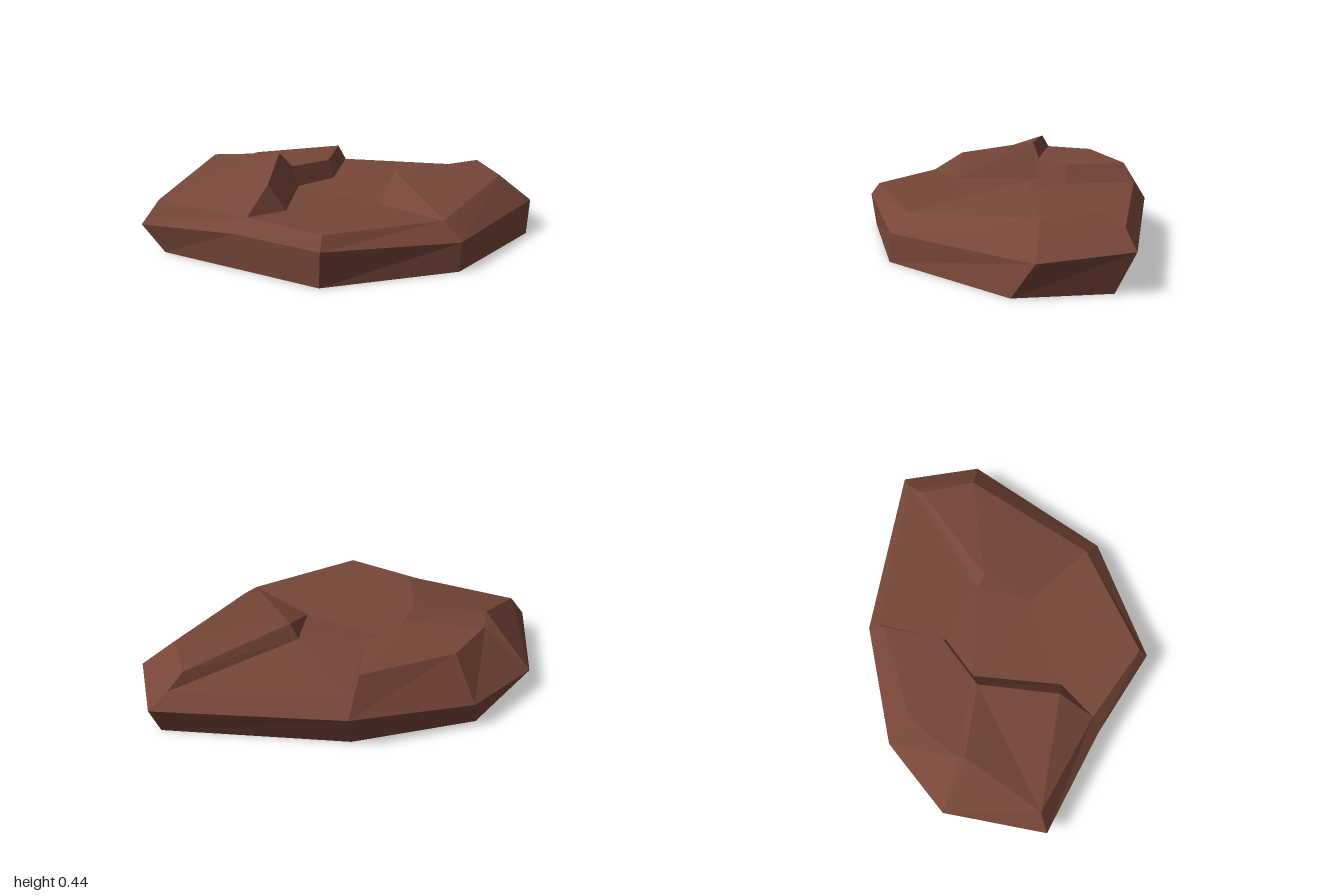
import * as THREE from 'three';

// Corner points of the slab: rim corners run anticlockwise seen from above
const rim = {
  A: [-1, 0.145, 0.4], B: [-0.45, 0.18, 0.575], C: [0.02, 0.18, 0.77],
  E: [0.64, 0.145, 0.41], G: [1, 0.165, -0.37], H: [0.83, 0.195, -0.77],
  I: [-0.12, 0.21, -0.74], J: [-0.71, 0.16, -0.49], K: [-1, 0.135, -0.14],
};
const foot = [
  [-0.88, 0, 0.4], [-0.44, 0, 0.565], [0.01, 0, 0.75], [0.635, 0, 0.42], [0.98, 0, -0.26],
  [0.82, 0, -0.68], [-0.126, 0, -0.65], [-0.73, 0, -0.42], [-0.885, 0, -0.04],
];
const shoulder = {
  A1: [-0.92, 0.267, 0.35], B1: [-0.39, 0.253, 0.53], C1: [0.02, 0.245, 0.72],
  E1: [0.55, 0.233, 0.35], G1: [0.82, 0.307, -0.35], H1: [0.745, 0.275, -0.71],
  I1: [-0.12, 0.293, -0.68], J1: [-0.6, 0.38, -0.38], K1: [-0.75, 0.362, -0.1],
};
const crest = {
  N: [-0.75, 0.428, -0.06], M: [-0.385, 0.445, -0.075], O: [-0.335, 0.374, 0.34], // left block
  T: [-0.325, 0.362, -0.122], U: [-0.155, 0.365, -0.31], S: [-0.155, 0.388, -0.62], // back plate
  P: [0.25, 0.345, -0.17], Q: [0.69, 0.33, -0.62], // right ridge
};
const hollow = {
  p: [-0.125, 0.262, -0.305], q: [-0.29, 0.25, -0.125], r: [-0.245, 0.24, 0.34],
  V: [0.205, 0.23, 0.1], W: [0.205, 0.272, -0.2],
};
const points = { ...rim, ...shoulder, ...crest, ...hollow };

function facets(name, triangles, material) {
  const geometry = new THREE.BufferGeometry();
  geometry.setAttribute('position', new THREE.Float32BufferAttribute(triangles.flat(2), 3));
  geometry.computeVertexNormals();
  const mesh = new THREE.Mesh(geometry, material);
  mesh.name = name;
  return mesh;
}

// Fan each polygon into triangles that face upward
function upperFaces(list) {
  const triangles = [];
  for (const polygon of list) {
    const c = polygon.split(' ').map((key) => points[key]);
    for (let i = 1; i < c.length - 1; i++) {
      const [a, b, d] = [c[0], c[i], c[i + 1]];
      const up = (b[2] - a[2]) * (d[0] - a[0]) - (b[0] - a[0]) * (d[2] - a[2]);
      triangles.push(up > 0 ? [a, b, d] : [a, d, b]);
    }
  }
  return triangles;
}

export function createModel() {
  const group = new THREE.Group();
  group.name = 'rockSlab';
  const stone = new THREE.MeshStandardMaterial({ color: 0x774639 });
  stone.name = 'reddish brown stone';
  stone.flatShading = true;

  // Side wall and underside
  const top = Object.values(rim);
  const wall = [];
  const underside = [];
  for (let i = 0; i < foot.length; i++) {
    const j = (i + 1) % foot.length;
    wall.push([foot[i], foot[j], top[j]], [foot[i], top[j], top[i]]);
    if (i > 0 && j > 0) underside.push([foot[0], foot[j], foot[i]]);
  }
  group.add(facets('sideWall', wall, stone), facets('underside', underside, stone));

  // Upper surface, one mesh per landform
  const parts = {
    bevel: ['A B B1 A1', 'B C C1 B1', 'C E E1 C1', 'E G G1 E1', 'G H H1 G1', 'H I I1 H1',
      'I J J1 S', 'I S I1', 'J K K1 J1', 'K N K1', 'K A A1 N'],
    leftBlock: ['M N A1 O', 'A1 B1 O', 'N M T K1', 'M O r q', 'M q T', 'O B1 r'],
    backPlate: ['T U S J1 K1', 'T q p U', 'U p I1 S'],
    channelFloor: ['I1 p W H1', 'p q W', 'q r V W', 'r B1 C1 V', 'C1 E1 V'],
    rightRidge: ['V P W', 'W P Q H1', 'V E1 P', 'P E1 G1 Q', 'Q G1 H1'],
  };
  for (const [name, list] of Object.entries(parts)) {
    group.add(facets(name, upperFaces(list), stone));
  }
  return group;
}
